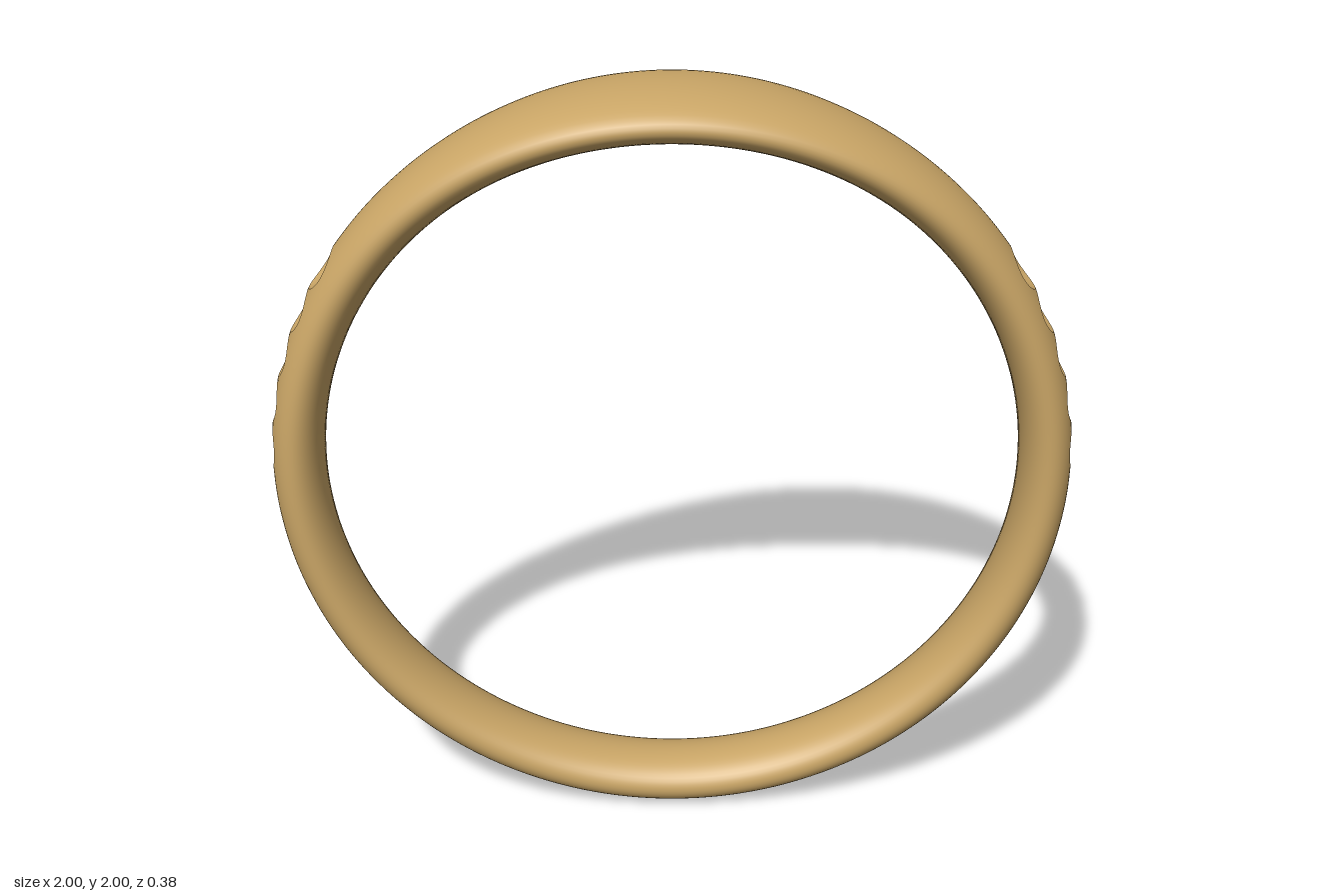
import * as THREE from 'three';

const RAD = Math.PI / 180;
const T_STEP = 0.9, T_SEGS = 400;      // around the hoop, degrees
const V_STEP = 7.5, V_SEGS = 48;       // around the oval cross-section, degrees
const CELL = 7.2, SEATS = 5, V_EDGE = 37.5;  // each drilled seat sits in its own cell
const SEAT_R = 0.06, APEX_R = 0.957;

// Half width of the band: slim shank swelling towards the top
function halfWidth(t) {
  const a = Math.min(75, Math.abs(((t - 90 + 540) % 360) - 180));
  return 0.105 + 0.085 * Math.pow(0.5 + 0.5 * Math.cos(a / 75 * Math.PI), 1.3);
}

// Point on the band; t runs around the hoop from +x, v around the section from outside
function surface(t, v) {
  const r = 0.935 + 0.065 * Math.cos(v * RAD);
  return new THREE.Vector3(r * Math.cos(t * RAD), 1 + r * Math.sin(t * RAD),
    halfWidth(t) * Math.sin(v * RAD));
}

function surfaceNormal(t, v) {
  const e = 0.05;
  const dt = surface(t + e, v).sub(surface(t - e, v));
  const dv = surface(t, v + e).sub(surface(t, v - e));
  return dt.cross(dv).normalize();
}

// Skin over rows of [t, v] pairs, leaving out quads where skip(row, column) is true
function bandGeometry(rows, skip = () => false) {
  const pos = [], nor = [], idx = [], n = rows[0].length;
  for (const row of rows) for (const [t, v] of row) {
    pos.push(...surface(t, v).toArray());
    nor.push(...surfaceNormal(t, v).toArray());
  }
  for (let i = 0; i < rows.length - 1; i++) for (let j = 0; j < n - 1; j++) {
    if (skip(i, j)) continue;
    const a = i * n + j, b = a + n;
    idx.push(a, b, b + 1, a, b + 1, a + 1);
  }
  const g = new THREE.BufferGeometry();
  g.setAttribute('position', new THREE.Float32BufferAttribute(pos, 3));
  g.setAttribute('normal', new THREE.Float32BufferAttribute(nor, 3));
  g.setIndex(idx);
  return g;
}

// Corner-to-corner walk around one cell, on the same points as the band grid
function cellBorder(t0) {
  const h = CELL / 2, nt = Math.round(CELL / T_STEP), nv = Math.round(2 * V_EDGE / V_STEP);
  const out = [];
  for (let i = 0; i < nt; i++) out.push([t0 - h + i * T_STEP, -V_EDGE]);
  for (let i = 0; i < nv; i++) out.push([t0 + h, -V_EDGE + i * V_STEP]);
  for (let i = 0; i < nt; i++) out.push([t0 + h - i * T_STEP, V_EDGE]);
  for (let i = 0; i < nv; i++) out.push([t0 - h, V_EDGE - i * V_STEP]);
  out.push(out[0]);
  return out;
}

// Round rim of a seat, one point for each border point
function seatRim(t0, border) {
  return border.map(([t, v]) => {
    const a = Math.atan2(halfWidth(t) * Math.sin(v * RAD), (t - t0) * RAD);
    const tc = t0 + SEAT_R * Math.cos(a) / RAD;
    return [tc, Math.asin(SEAT_R * Math.sin(a) / halfWidth(tc)) / RAD];
  });
}

// Conical hollow from the rim down to its point
function seatGeometry(t0, rim) {
  const apex = new THREE.Vector3(APEX_R * Math.cos(t0 * RAD), 1 + APEX_R * Math.sin(t0 * RAD), 0);
  const pos = [], idx = [], n = rim.length - 1, levels = [0, 0.5, 0.94, 1];
  for (const k of levels) for (let j = 0; j < n; j++)
    pos.push(...surface(...rim[j]).lerp(apex, k).toArray());
  for (let i = 0; i < levels.length - 1; i++) for (let j = 0; j < n; j++) {
    const a = i * n + j, b = i * n + (j + 1) % n;
    idx.push(a, b, b + n, a, b + n, a + n);
  }
  const g = new THREE.BufferGeometry();
  g.setAttribute('position', new THREE.Float32BufferAttribute(pos, 3));
  g.setIndex(idx);
  g.computeVertexNormals();
  return g;
}

export function createModel() {
  const ring = new THREE.Group();
  ring.name = 'ring';
  const gold = new THREE.MeshStandardMaterial({ color: 0xc9a566 });
  const add = (geometry, name) => {
    const mesh = new THREE.Mesh(geometry, gold);
    mesh.name = name;
    ring.add(mesh);
  };

  // Band, open where the seat cells go on both shoulders
  const rows = [];
  for (let i = 0; i <= T_SEGS; i++) {
    const row = [];
    for (let j = 0; j <= V_SEGS; j++) row.push([i * T_STEP, j * V_STEP - 180]);
    rows.push(row);
  }
  const span = CELL * SEATS;
  add(bandGeometry(rows, (i, j) => {
    const t = (i + 0.5) * T_STEP, v = (j + 0.5) * V_STEP - 180;
    return Math.abs(v) < V_EDGE && (t < span || (t > 180 - span && t < 180));
  }), 'band');

  // Row of seats on each shoulder, mirrored left to right
  for (const side of ['left', 'right']) for (let k = 0; k < SEATS; k++) {
    const a = CELL * (k + 0.5), t0 = side === 'left' ? a : 180 - a;
    const border = cellBorder(t0), rim = seatRim(t0, border);
    const middle = border.map(([t, v], j) => [(t + rim[j][0]) / 2, (v + rim[j][1]) / 2]);
    add(bandGeometry([rim, middle, border]), side + 'SeatSurround' + (k + 1));
    add(seatGeometry(t0, rim), side + 'Seat' + (k + 1));
  }
  return ring;
}
